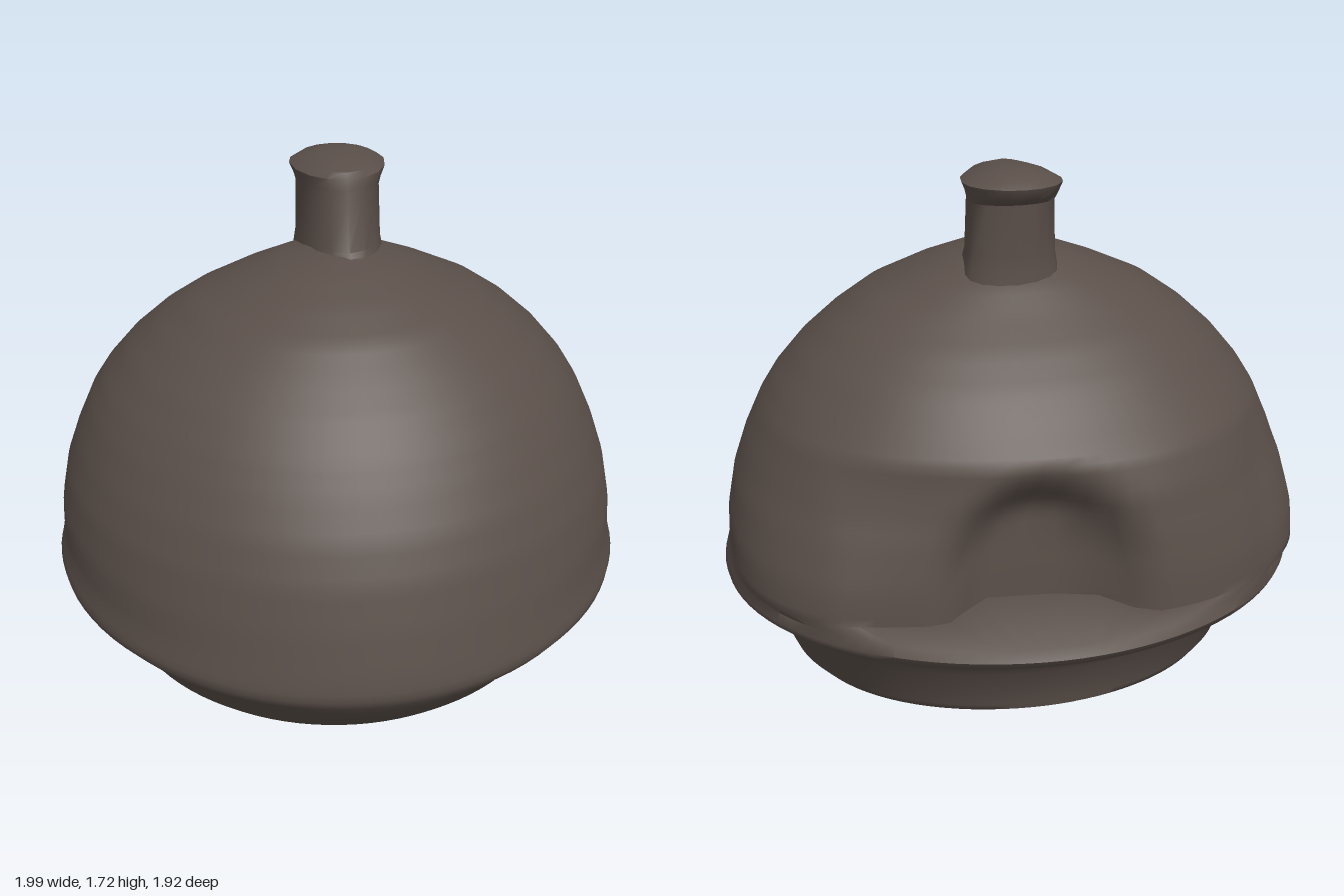
import * as THREE from 'three';
import { toCreasedNormals } from 'three/addons/utils/BufferGeometryUtils.js';

const SEG = 96;
const { smoothstep } = THREE.MathUtils;

// Skin a stack of closed rings (bottom to top) and close both ends.
function loft(rings, crease) {
  const pos = [], idx = [], n = rings[0].length;
  rings.forEach(r => r.forEach(p => pos.push(p.x, p.y, p.z)));
  for (let i = 0; i < rings.length - 1; i++) {
    for (let j = 0; j < n; j++) {
      const k = (j + 1) % n, a = i * n + j, b = i * n + k;
      idx.push(a, b, b + n, a, b + n, a + n);
    }
  }
  const cap = (i, up) => {
    const c = new THREE.Vector3();
    rings[i].forEach(p => c.addScaledVector(p, 1 / n));
    const ci = pos.length / 3;
    pos.push(c.x, c.y, c.z);
    for (let j = 0; j < n; j++) {
      const a = i * n + j, b = i * n + (j + 1) % n;
      if (up) idx.push(ci, a, b); else idx.push(ci, b, a);
    }
  };
  cap(0, false);
  cap(rings.length - 1, true);
  const g = new THREE.BufferGeometry();
  g.setAttribute('position', new THREE.Float32BufferAttribute(pos, 3));
  g.setIndex(idx);
  return toCreasedNormals(g, crease);
}

// Ring with separate front and back reach; power > 2 squares off the back half.
function ring(y, rx, zf, zb, { cx = 0, cz = -0.04, lift = 0, power = 2, seg = SEG } = {}) {
  const pts = [];
  for (let j = 0; j < seg; j++) {
    const a = j / seg * Math.PI * 2, s = Math.sin(a), c = Math.cos(a);
    const e = c < 0 ? 2 / power : 1;
    const x = Math.sign(s) * Math.abs(s) ** e * rx;
    const z = Math.sign(c) * Math.abs(c) ** e * (c > 0 ? zf - cz : cz - zb);
    pts.push(new THREE.Vector3(cx + x, y + lift * Math.max(0, -c) ** 2, cz + z));
  }
  return pts;
}

// Insert evenly spaced rows between profile rows.
function subdivide(rows, steps) {
  const out = [];
  for (let i = 0; i < rows.length - 1; i++) {
    for (let s = 0; s < steps; s++) out.push(rows[i].map((v, k) => v + (rows[i + 1][k] - v) * s / steps));
  }
  out.push(rows[rows.length - 1]);
  return out;
}

// Press the arched mouth into the back wall and skew the wall around it.
function shapeWall(p) {
  if (p.z > -0.3) return;
  const fade = 1 - smoothstep(p.y, 0.8, 1.1);
  p.z += 0.13 * p.x * Math.max(0, 1 - (p.x / 0.7) ** 2) * fade;
  const r = Math.hypot((p.x - 0.06) / 0.34, Math.max(0, p.y - 0.58) / 0.37);
  p.z += 0.16 * (1 - smoothstep(r, 0.4, 1));
}

export function createModel() {
  const group = new THREE.Group();
  group.name = 'clayOven';
  const clay = new THREE.MeshStandardMaterial({ color: 0x5a4f49 });
  clay.name = 'dark clay';
  const add = (name, geo) => {
    const m = new THREE.Mesh(geo, clay);
    m.name = name;
    group.add(m);
  };

  // Tapered base, flared rim and rear ledge: y, half width, front z, back z, rear lift
  const base = [
    [0, 0.68, 0.6, -0.66, 0.06],
    [0.02, 0.74, 0.68, -0.7, 0.05],
    [0.06, 0.78, 0.72, -0.705, 0.03],
    [0.2, 0.84, 0.84, -0.73, 0.02],
    [0.31, 0.95, 0.94, -0.83, 0.01],
    [0.35, 0.99, 0.96, -0.94, 0.03],
    [0.375, 0.995, 0.957, -0.96, 0.035],
    [0.4, 0.988, 0.953, -0.94, 0.04],
  ].map(([y, rx, zf, zb, lift]) => ring(y, rx, zf, zb, { lift, power: 1.95 }));

  // Dome profile: y, half width, front z, back z
  const dome = subdivide([
    [0.45, 0.975, 0.94, -0.805],
    [0.56, 0.97, 0.91, -0.8],
    [0.7, 0.942, 0.865, -0.79],
    [0.82, 0.9, 0.81, -0.775],
    [0.94, 0.845, 0.735, -0.745],
    [1.02, 0.795, 0.68, -0.67],
    [1.12, 0.71, 0.6, -0.585],
    [1.21, 0.61, 0.505, -0.49],
    [1.29, 0.495, 0.415, -0.385],
    [1.36, 0.34, 0.29, -0.3],
    [1.41, 0.21, 0.17, -0.22],
    [1.44, 0.08, 0.06, -0.12],
  ], 4).map(([y, rx, zf, zb]) => {
    const pts = ring(y, rx, zf, zb, { power: 2.7 - 0.55 * smoothstep(y, 0.45, 0.85) });
    pts.forEach(shapeWall);
    return pts;
  });
  add('ovenBody', loft([...base, ...dome], 1));

  // Chimney with a small lip overhanging the back
  const chimney = [
    [1.3, 0.17, 0.18, -0.3],
    [1.4, 0.15, 0.11, -0.29],
    [1.45, 0.142, 0.06, -0.29],
    [1.62, 0.138, 0.02, -0.3],
    [1.645, 0.145, 0.012, -0.345],
    [1.68, 0.16, 0.005, -0.36],
    [1.7, 0.125, -0.005, -0.335],
    [1.72, 0.06, -0.08, -0.26],
  ].map(([y, rx, zf, zb]) => ring(y, rx, zf, zb, { cx: 0.03, cz: -0.21, seg: 16 }));
  add('chimney', loft(chimney, 0.7));

  return group;
}
